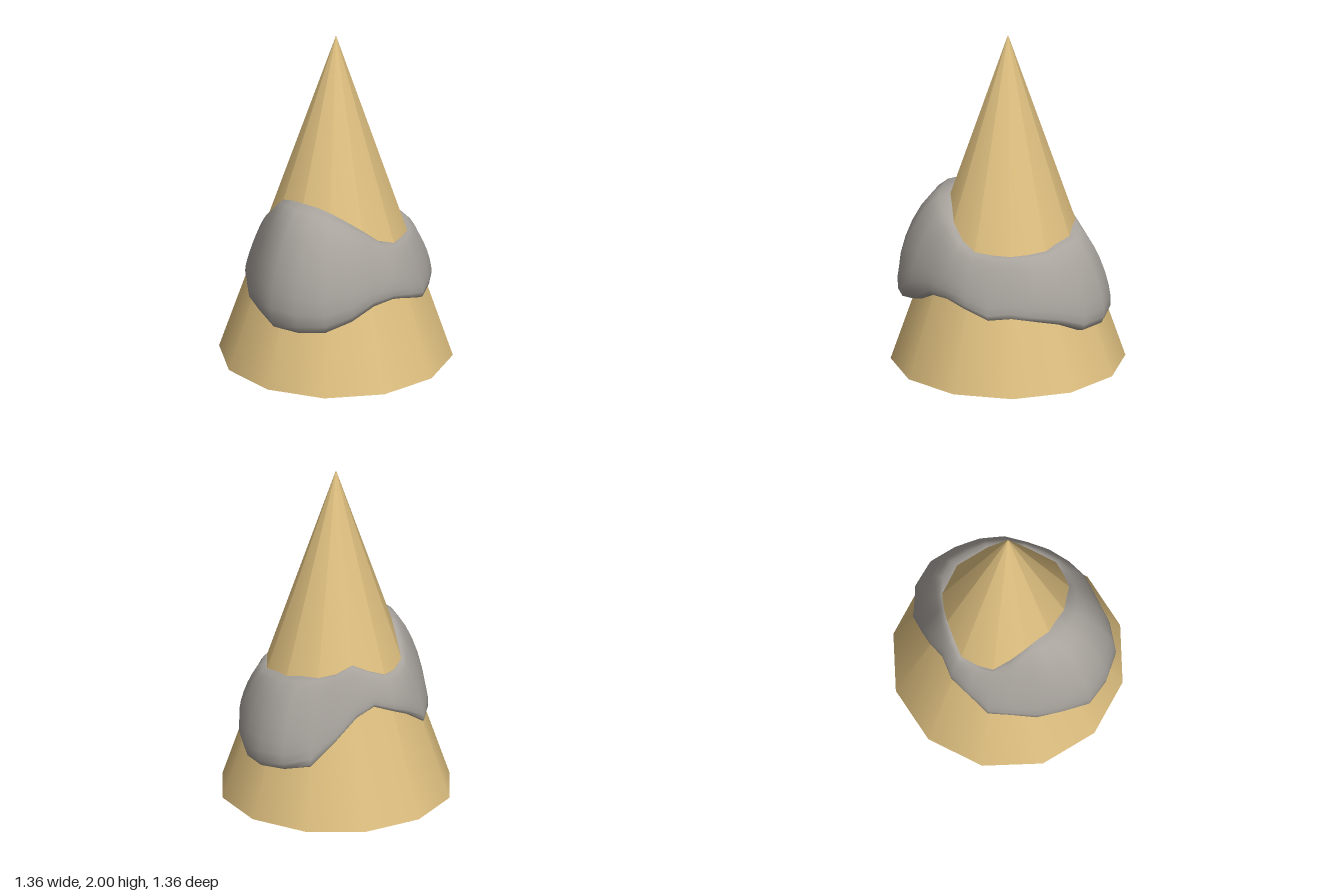
import * as THREE from 'three';

const HEIGHT = 2, BASE = 0.68, SIDES = 12;

// Stone belt, every 15 degrees from +x towards +z: outer radius, lower edge, upper edge
const OUTER = [.58, .56, .54, .54, .535, .535, .54, .59, .64, .65, .645, .59,
  .55, .525, .515, .495, .485, .45, .44, .475, .54, .61, .625, .605];
const LOWER = [.38, .41, .44, .42, .47, .5, .49, .42, .37, .35, .36, .4,
  .43, .46, .47, .56, .62, .67, .63, .5, .36, .32, .31, .31];
const UPPER = [.79, .78, .78, .78, .79, .83, .91, .97, 1.02, 1.04, 1.05, 1.04,
  1.02, .93, .85, .82, .83, .87, .92, .87, .85, .84, .82, .81];

// Radius of the twelve-sided cone at a height and angle
function coneRadius(y, angle) {
  const step = (2 * Math.PI) / SIDES;
  const local = (angle % step) - step / 2;
  return BASE * (1 - y / HEIGHT) * Math.cos(step / 2) / Math.cos(local);
}

// Rounded cross-sections swept around the cone, ends tucked inside it
function beltGeometry() {
  const n = OUTER.length, rows = 12, positions = [], index = [];
  for (let i = 0; i < n; i++) {
    const a = (i / n) * 2 * Math.PI;
    const mid = (LOWER[i] + UPPER[i]) / 2, half = (UPPER[i] - LOWER[i]) / 2;
    const reach = OUTER[i] - coneRadius(mid, a), slope = half * BASE / HEIGHT;
    const bulge = 0.96 * Math.sqrt(Math.max(reach * reach - slope * slope, 0.0009));
    for (let j = 0; j <= rows; j++) {
      const t = Math.PI * (j - 1) / (rows - 2);
      const end = j === 0 || j === rows;
      const y = mid - half * (j === 0 ? 1 : end ? -1 : Math.cos(t));
      const swell = end ? -0.04 : bulge * Math.pow(Math.max(Math.sin(t), 0), 0.78);
      const r = coneRadius(y, a) + swell;
      positions.push(r * Math.cos(a), y, r * Math.sin(a));
    }
  }
  for (let i = 0; i < n; i++) {
    for (let j = 0; j < rows; j++) {
      const p = i * (rows + 1) + j, q = ((i + 1) % n) * (rows + 1) + j;
      index.push(p, p + 1, q, q, p + 1, q + 1);
    }
  }
  const geometry = new THREE.BufferGeometry();
  geometry.setAttribute('position', new THREE.Float32BufferAttribute(positions, 3));
  geometry.setIndex(index);
  geometry.computeVertexNormals();
  return geometry;
}

export function createModel() {
  const group = new THREE.Group();
  const sand = new THREE.MeshStandardMaterial({ color: 0xdfc080 });
  sand.name = 'sand';
  const stone = new THREE.MeshStandardMaterial({ color: 0xa8a39d });
  stone.name = 'stone grey';

  // Tall pointed body with a flat base
  const cone = new THREE.Mesh(new THREE.ConeGeometry(BASE, HEIGHT, SIDES, 1), sand);
  cone.name = 'cone';
  cone.position.y = HEIGHT / 2;

  // Lumpy belt around the middle
  const belt = new THREE.Mesh(beltGeometry(), stone);
  belt.name = 'stoneBelt';

  group.add(cone, belt);
  return group;
}
